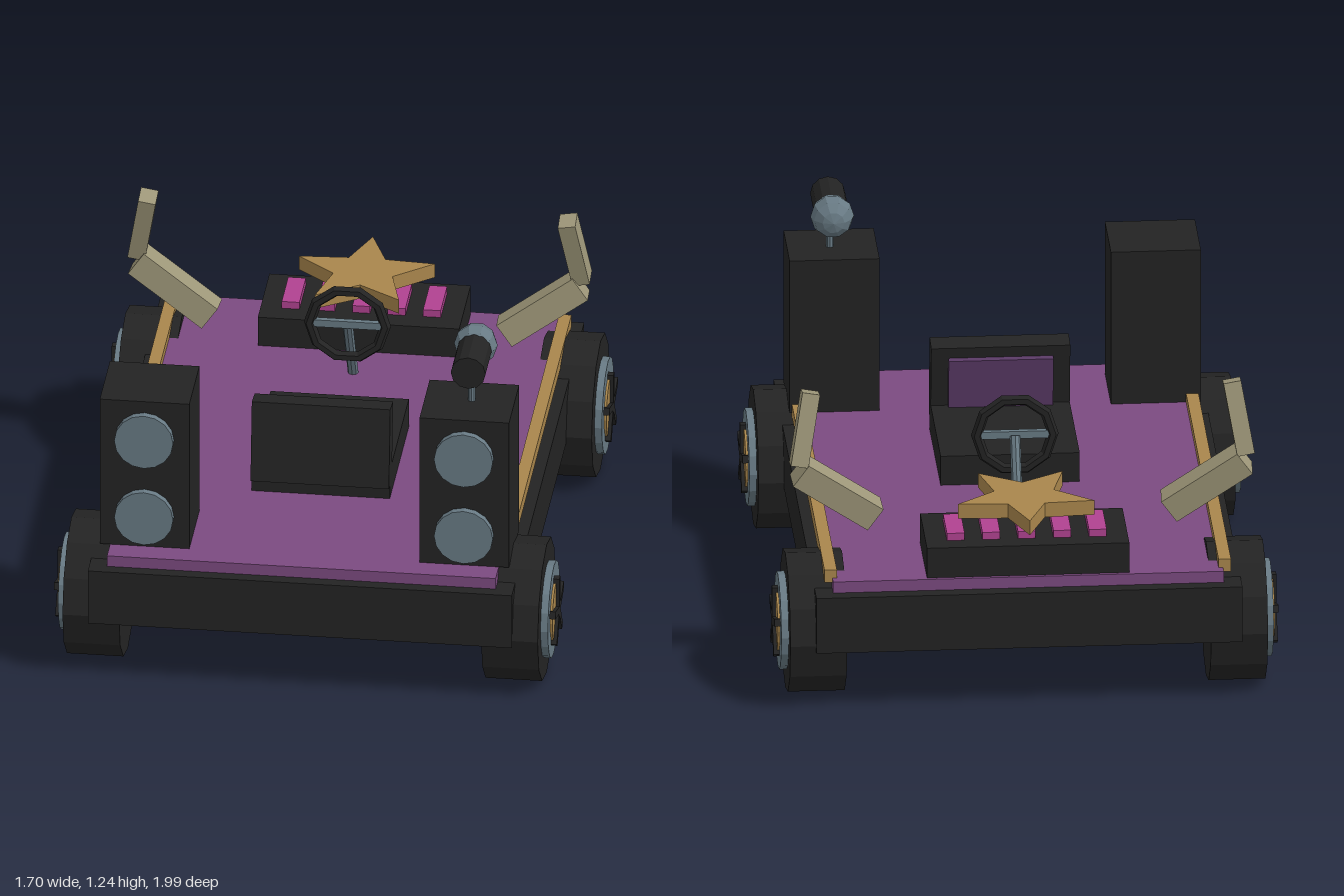
import * as THREE from 'three';

const mat = (name, color) => {
  const m = new THREE.MeshStandardMaterial({ color, flatShading: true });
  m.name = name;
  return m;
};

export function createModel() {
  const black = mat('black', 0x232323);
  const purple = mat('purple', 0x7b4a80);
  const darkPurple = mat('dark purple', 0x5a3a66);
  const gold = mat('gold', 0xa9864c);
  const steel = mat('steel', 0x687a84);
  const bone = mat('bone', 0x9e9779);
  const pink = mat('pink', 0xb04290);

  const model = new THREE.Group();
  model.name = 'stageCart';

  const add = (parent, name, geo, material, x = 0, y = 0, z = 0) => {
    const m = new THREE.Mesh(geo, material);
    m.name = name;
    m.position.set(x, y, z);
    parent.add(m);
    return m;
  };
  // box given by its extents
  const box = (parent, name, material, x0, x1, y0, y1, z0, z1) =>
    add(parent, name, new THREE.BoxGeometry(x1 - x0, y1 - y0, z1 - z0), material,
      (x0 + x1) / 2, (y0 + y1) / 2, (z0 + z1) / 2);
  // square bar from a to b
  const bar = (parent, name, material, a, b, w, d) => {
    const p = new THREE.Vector3(...a), q = new THREE.Vector3(...b);
    const dir = q.clone().sub(p);
    const m = add(parent, name, new THREE.BoxGeometry(w, dir.length(), d), material);
    m.position.copy(p).add(q).multiplyScalar(0.5);
    m.quaternion.setFromUnitVectors(new THREE.Vector3(0, 1, 0), dir.normalize());
    return m;
  };
  // cylinder along x (outer radius at +x end)
  const discX = (parent, name, material, r, x0, x1, sides, rOut = r) => {
    const g = new THREE.CylinderGeometry(r, rOut, x1 - x0, sides);
    g.rotateZ(Math.PI / 2);
    return add(parent, name, g, material, (x0 + x1) / 2, 0, 0);
  };

  // chassis and deck
  box(model, 'chassis', black, -0.72, 0.72, 0.22, 0.42, -0.976, 0.995);
  box(model, 'deck', purple, -0.66, 0.66, 0.42, 0.46, -0.93, 0.954);

  // wheels, built facing +x and turned for the other side
  for (const s of [-1, 1]) for (const z of [0.745, -0.725]) {
    const wheel = new THREE.Group();
    wheel.name = 'wheel';
    wheel.position.set(0, 0.244, z);
    wheel.rotation.y = s > 0 ? 0 : Math.PI;
    discX(wheel, 'tire', black, 0.244, 0.615, 0.807, 12);
    discX(wheel, 'rim', steel, 0.166, 0.8, 0.832, 16);
    discX(wheel, 'hubDisc', gold, 0.108, 0.825, 0.84, 16);
    discX(wheel, 'hub', black, 0.024, 0.835, 0.852, 8);
    for (let i = 0; i < 5; i++) {
      const a = i * Math.PI * 2 / 5;
      const spoke = box(wheel, 'spoke', black, 0.832, 0.852, 0, 0.122, -0.013, 0.013);
      spoke.position.set(0.842, Math.cos(a) * 0.061, Math.sin(a) * 0.061);
      spoke.rotation.x = a;
    }
    model.add(wheel);
  }

  for (const s of [-1, 1]) {
    // side rail
    const rail = box(model, 'sideRail', gold, 0.645, 0.687, 0.445, 0.49, -0.895, 0.7);
    rail.position.x *= s;

    // loudspeaker
    const speaker = new THREE.Group();
    speaker.name = 'speaker';
    speaker.position.x = s * 0.543;
    box(speaker, 'speakerCabinet', black, -0.152, 0.152, 0.46, 1.012, 0.595, 0.87);
    for (const y of [0.578, 0.87]) {
      const g = new THREE.CylinderGeometry(0.1, 0.1, 0.035, 16);
      g.rotateX(Math.PI / 2);
      add(speaker, 'speakerCone', g, steel, 0, y, 0.878);
    }
    model.add(speaker);

    // bent arm
    bar(model, 'lowerArm', bone, [s * 0.498, 0.571, -0.602], [s * 0.752, 0.749, -0.632], 0.092, 0.092);
    bar(model, 'upperArm', bone, [s * 0.755, 0.77, -0.64], [s * 0.712, 1.015, -0.588], 0.06, 0.075);
  }

  // microphone on the left speaker
  add(model, 'microphoneStand', new THREE.CylinderGeometry(0.013, 0.013, 0.13, 8), steel, 0.55, 1.065, 0.72);
  const handle = new THREE.CylinderGeometry(0.059, 0.059, 0.2, 12);
  handle.rotateX(Math.PI / 2);
  add(model, 'microphoneHandle', handle, black, 0.55, 1.166, 0.72);
  const head = new THREE.SphereGeometry(0.074, 10, 6);
  head.rotateX(Math.PI / 2);
  add(model, 'microphoneHead', head, steel, 0.55, 1.166, 0.61);

  // seat
  box(model, 'seatBase', black, -0.235, 0.235, 0.46, 0.565, -0.09, 0.43);
  const back = new THREE.Group();
  back.name = 'seatBack';
  back.position.set(0, 0.646, 0.397);
  back.rotation.x = -0.13;
  box(back, 'backrest', black, -0.235, 0.235, -0.143, 0.143, -0.04, 0.04);
  box(back, 'backPad', darkPurple, -0.177, 0.177, -0.1, 0.105, -0.063, -0.035);
  model.add(back);

  // steering wheel and column
  add(model, 'steeringWheel', new THREE.TorusGeometry(0.129, 0.019, 6, 10), black, 0, 0.725, -0.302);
  box(model, 'steeringSpoke', steel, -0.12, 0.12, 0.712, 0.738, -0.312, -0.292);
  const column = new THREE.CylinderGeometry(0.018, 0.018, 0.3, 8);
  const col = add(model, 'steeringColumn', column, steel, 0, 0.59, -0.382);
  col.rotation.x = 0.51;

  // keyboard console
  box(model, 'console', black, -0.342, 0.342, 0.46, 0.568, -0.917, -0.603);
  for (let i = -2; i <= 2; i++) {
    box(model, 'key', pink, i * 0.12 - 0.03, i * 0.12 + 0.03, 0.56, 0.594, -0.853, -0.677);
  }

  // star, tip pointing to the rear
  const star = new THREE.Shape();
  for (let i = 0; i < 10; i++) {
    const r = i % 2 ? 0.106 : 0.243, a = Math.PI / 2 + i * Math.PI / 5;
    star[i ? 'lineTo' : 'moveTo'](Math.cos(a) * r, Math.sin(a) * r);
  }
  star.closePath();
  const starGeo = new THREE.ExtrudeGeometry(star, { depth: 0.052, bevelEnabled: false });
  starGeo.rotateX(-Math.PI / 2);
  add(model, 'star', starGeo, gold, 0, 0.638, -0.754);

  return model;
}
